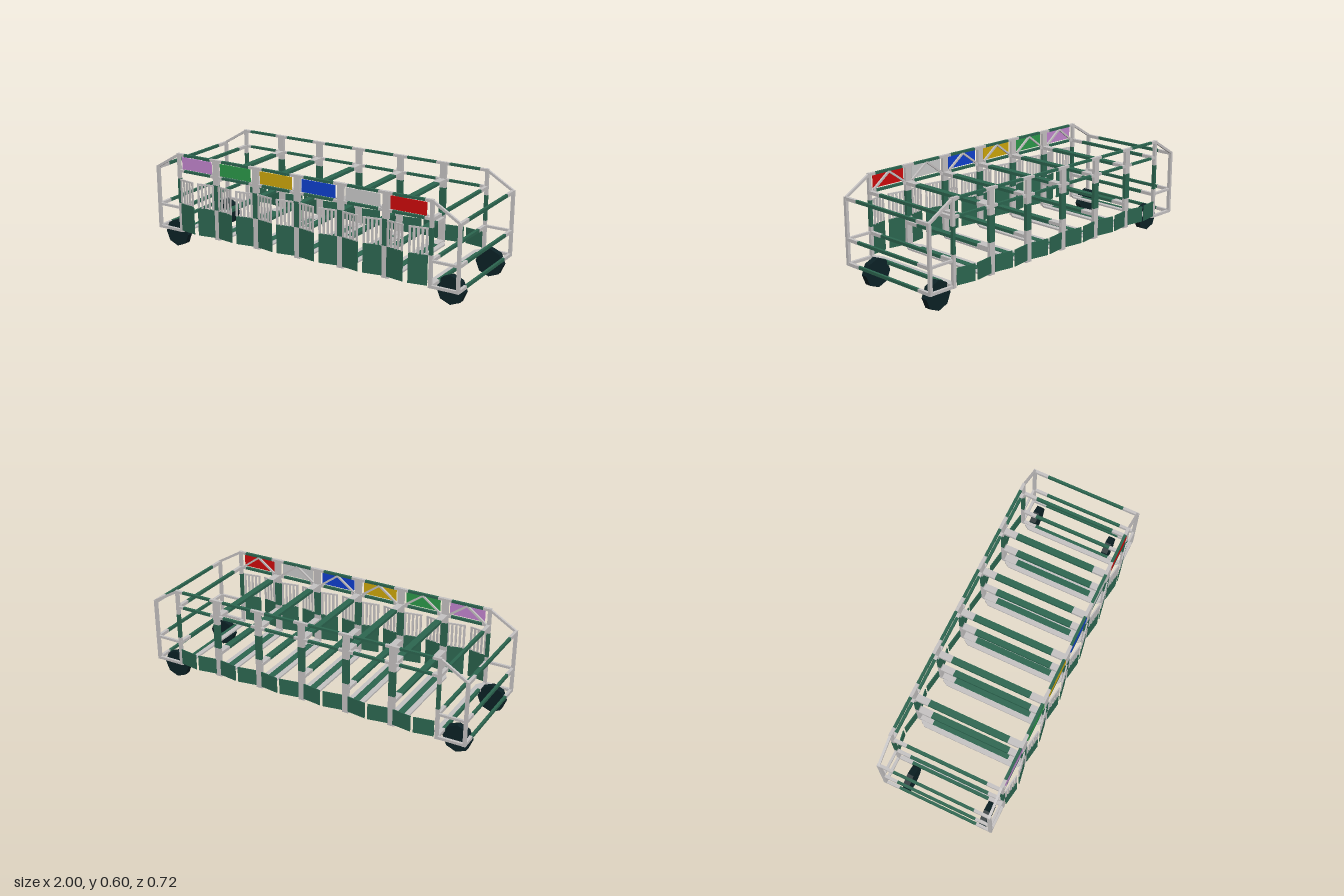
import * as THREE from 'three';

const mat = (name, color) => {
  const m = new THREE.MeshStandardMaterial({ color });
  m.name = name;
  return m;
};

export function createModel() {
  const root = new THREE.Group();
  root.name = 'startingGate';
  const steel = mat('steelGrey', 0xc6c3c3);
  const green = mat('darkGreen', 0x2c6650);
  const rubber = mat('tyreBlack', 0x0c2226);
  const signMats = [
    mat('violet', 0xc486d0), mat('signGreen', 0x2c9a4a), mat('yellow', 0xcfa80c),
    mat('blue', 0x0f40d0), mat('paleGrey', 0xcccccc), mat('red', 0xd00a0c),
  ];

  const box = (name, m, w, h, d, x, y, z, parent = root) => {
    const mesh = new THREE.Mesh(new THREE.BoxGeometry(w, h, d), m);
    mesh.name = name;
    mesh.position.set(x, y, z);
    parent.add(mesh);
    return mesh;
  };
  // slanted bar in a plane of constant z
  const slant = (name, x0, y0, x1, y1, z, t) => {
    const b = box(name, steel, Math.hypot(x1 - x0, y1 - y0), t, t, (x0 + x1) / 2, (y0 + y1) / 2, z);
    b.rotation.z = Math.atan2(y1 - y0, x1 - x0);
  };

  const ZF = 0.328, ZB = -0.333;
  const postX = [-0.83, -0.56, -0.28, 0, 0.28, 0.56, 0.83];
  const railY = [0.125, 0.265, 0.495];

  // cross rails: green middle with steel sleeves at both ends
  const crossRails = (x, w) => {
    for (const y of railY) {
      box('crossRail', green, w, 0.017, 0.49, x, y, -0.004);
      box('crossRailSleeve', steel, w + 0.002, 0.019, 0.09, x, y, 0.283);
      box('crossRailSleeve', steel, w + 0.002, 0.019, 0.09, x, y, -0.29);
    }
  };

  // stall posts: steel with a green middle section
  for (const x of postX) {
    const w = Math.abs(x) > 0.8 ? 0.018 : 0.038;
    for (const z of [ZF, ZB]) {
      box('postLower', steel, w, 0.183, 0.019, x, 0.2085, z);
      box('postMiddle', green, w, 0.15, 0.019, x, 0.375, z);
      box('postUpper', steel, w, 0.152, 0.019, x, 0.526, z);
    }
    crossRails(x, w);
  }

  // end frames beyond the outer stalls
  for (const s of [-1, 1]) {
    for (const z of [ZF, ZB]) {
      box('endPost', steel, 0.017, 0.387, 0.019, s * 0.991, 0.3105, z);
      box('endRail', steel, 0.15, 0.016, 0.016, s * 0.91, 0.125, z);
      box('endRail', steel, 0.15, 0.014, 0.014, s * 0.91, 0.267, z);
      slant('endBrace', s * 0.991, 0.499, s * 0.83, 0.595, z, 0.014);
    }
    crossRails(s * 0.99, 0.015);
  }

  // chamfered floor boards under each partition
  const board = (x0, x1, c0, c1) => {
    const e = 0.312, k = 0.03;
    const s = new THREE.Shape([
      [x0, -e + c0 * k], [x0 + c0 * 0.02, -e], [x1 - c1 * 0.02, -e], [x1, -e + c1 * k],
      [x1, e - c1 * k], [x1 - c1 * 0.02, e], [x0 + c0 * 0.02, e], [x0, e - c0 * k],
    ].map(([x, z]) => new THREE.Vector2(x, z)));
    const g = new THREE.ExtrudeGeometry(s, { depth: 0.01, bevelEnabled: false });
    const mesh = new THREE.Mesh(g, steel);
    mesh.name = 'floorBoard';
    mesh.rotation.x = -Math.PI / 2;
    mesh.position.y = 0.12;
    root.add(mesh);
  };
  for (const x of postX.slice(1, 6)) board(x - 0.05, x + 0.05, 1, 1);
  board(-0.83, -0.792, 0, 1);
  board(0.792, 0.83, 1, 0);

  // one gate leaf, hinged at the post and swung slightly outwards
  const gateLeaf = (cx, side, front) => {
    const leaf = new THREE.Group();
    leaf.name = front ? 'frontGateLeaf' : 'rearGateLeaf';
    const len = front ? 0.108 : 0.115, dir = front ? 1 : -1;
    leaf.position.set(cx + side * 0.122, 0, front ? 0.339 : -0.343);
    leaf.rotation.y = side * dir * Math.atan2(0.018, len);
    const mid = -side * len / 2;
    if (front) {
      box('gatePanel', green, len, 0.17, 0.005, mid, 0.215, 0, leaf);
      box('gateTopRail', steel, len, 0.009, 0.007, mid, 0.445, 0, leaf);
      for (let i = 0; i < 5; i++) {
        box('gateBar', steel, 0.013, 0.145, 0.005, -side * (0.0065 + i * (len - 0.013) / 4), 0.37, 0, leaf);
      }
    } else {
      box('gatePanel', green, len, 0.095, 0.005, mid, 0.178, 0, leaf);
    }
    root.add(leaf);
  };

  // stalls: long rails, sign, braces and gates
  signMats.forEach((m, i) => {
    const a = postX[i], b = postX[i + 1], cx = (a + b) / 2, len = b - a;
    for (const z of [ZF, ZB]) {
      for (const y of [0.497, 0.594]) {
        box('longRail', green, 0.19, 0.014, 0.016, cx, y, z);
        for (const s of [-1, 1]) {
          box('longRailSleeve', steel, len / 2 - 0.095, 0.015, 0.018, cx + s * (len / 4 + 0.0475), y, z);
        }
      }
    }
    box('sign', m, 0.213, 0.072, 0.006, cx, 0.547, 0.333);
    for (const s of [-1, 1]) {
      slant('signBrace', cx + s * 0.11, 0.506, cx, 0.587, 0.323, 0.011);
      gateLeaf(cx, s, true);
      gateLeaf(cx, s, false);
    }
  });

  // low-poly wheels, staggered between the two ends
  const wheelGeo = new THREE.CylinderGeometry(0.083, 0.083, 0.038, 8).toNonIndexed();
  wheelGeo.computeVertexNormals();
  wheelGeo.rotateX(Math.PI / 2);
  for (const [x, z] of [[-0.905, -0.216], [-0.905, 0.266], [0.9, -0.274], [0.9, 0.21]]) {
    const w = new THREE.Mesh(wheelGeo, rubber);
    w.name = 'wheel';
    w.position.set(x, 0.083, z);
    root.add(w);
  }
  return root;
}
